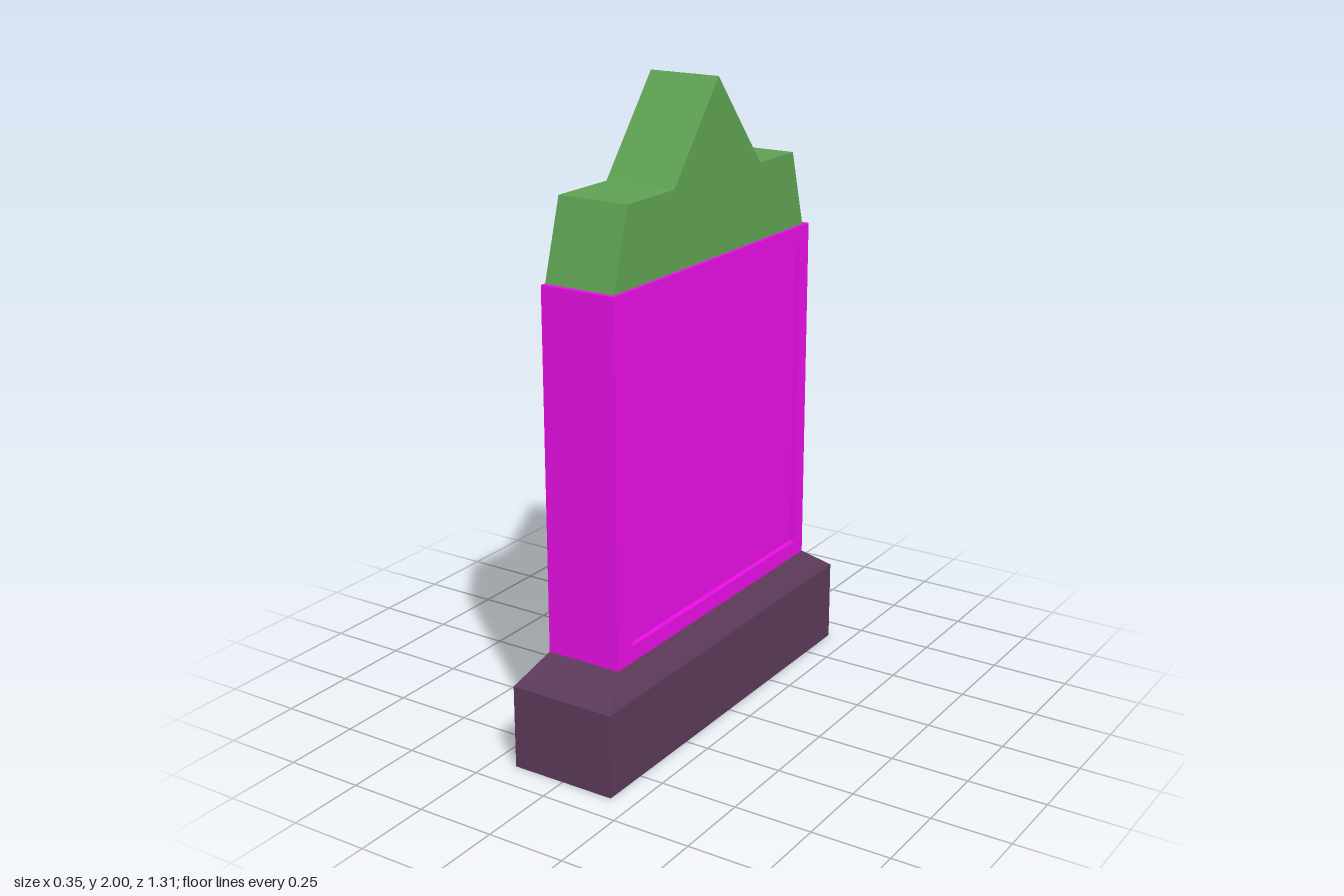
import * as THREE from 'three';

const paint = (color) => new THREE.MeshStandardMaterial({ color, flatShading: true });

// Extrude a (z, y) outline along -x, starting at x = xStart
function extrudeAcross(shape, depth, xStart) {
  const geo = new THREE.ExtrudeGeometry(shape, { depth, bevelEnabled: false });
  return geo.rotateY(-Math.PI / 2).translate(xStart, 0, 0);
}

const outline = (pts) => pts.map(([z, y]) => new THREE.Vector2(z, y));
const rect = (z0, z1, y0, y1) => outline([[z0, y0], [z1, y0], [z1, y1], [z0, y1]]);

export function createModel() {
  const model = new THREE.Group();
  const stone = paint(0x5c3a59);
  const slabPaint = paint(0xe80fe4);
  const crestPaint = paint(0x5fa153);

  const add = (parent, name, geo, mat) => {
    const mesh = new THREE.Mesh(geo, mat);
    mesh.name = name;
    parent.add(mesh);
    return mesh;
  };

  // Plinth: one box whose middle ring is the shoulder and top ring is drawn in
  const plinth = new THREE.BoxGeometry(0.346, 0.345, 1.31, 1, 2, 1).translate(0, 0.1725, 0);
  const p = plinth.attributes.position;
  for (let i = 0; i < p.count; i++) {
    const y = p.getY(i);
    if (y > 0.3) p.setXYZ(i, Math.sign(p.getX(i)) * 0.124, 0.345, Math.sign(p.getZ(i)) * 0.54);
    else if (y > 0.1) p.setY(i, 0.265);
  }
  plinth.computeVertexNormals();
  add(model, 'plinth', plinth, stone);

  // Slab: core plus a raised frame on each broad side, leaving a sunken panel
  const slab = new THREE.Group();
  slab.name = 'slab';
  model.add(slab);
  const y0 = 0.345, y1 = 1.47, half = 0.54, rim = 0.018, face = 0.124;
  add(slab, 'slabCore',
    new THREE.BoxGeometry(2 * (face - rim), y1 - y0, 2 * half).translate(0, (y0 + y1) / 2, 0), slabPaint);
  const frame = new THREE.Shape(rect(-half, half, y0, y1));
  frame.holes.push(new THREE.Path(rect(-0.466, 0.487, 0.397, 1.412)));
  const frameGeo = extrudeAcross(frame, rim, rim - face);
  add(slab, 'rightFrame', frameGeo, slabPaint);
  add(slab, 'leftFrame', frameGeo, slabPaint).rotation.y = Math.PI;

  // Crest: peaked silhouette with a step on each side
  const crest = new THREE.Shape(outline([
    [-0.518, y1], [0.524, y1], [0.453, 1.71], [0.221, 1.71],
    [-0.012, 2], [-0.252, 1.71], [-0.45, 1.71],
  ].reverse()));
  add(model, 'crest', extrudeAcross(crest, 0.234, 0.113), crestPaint);

  return model;
}
